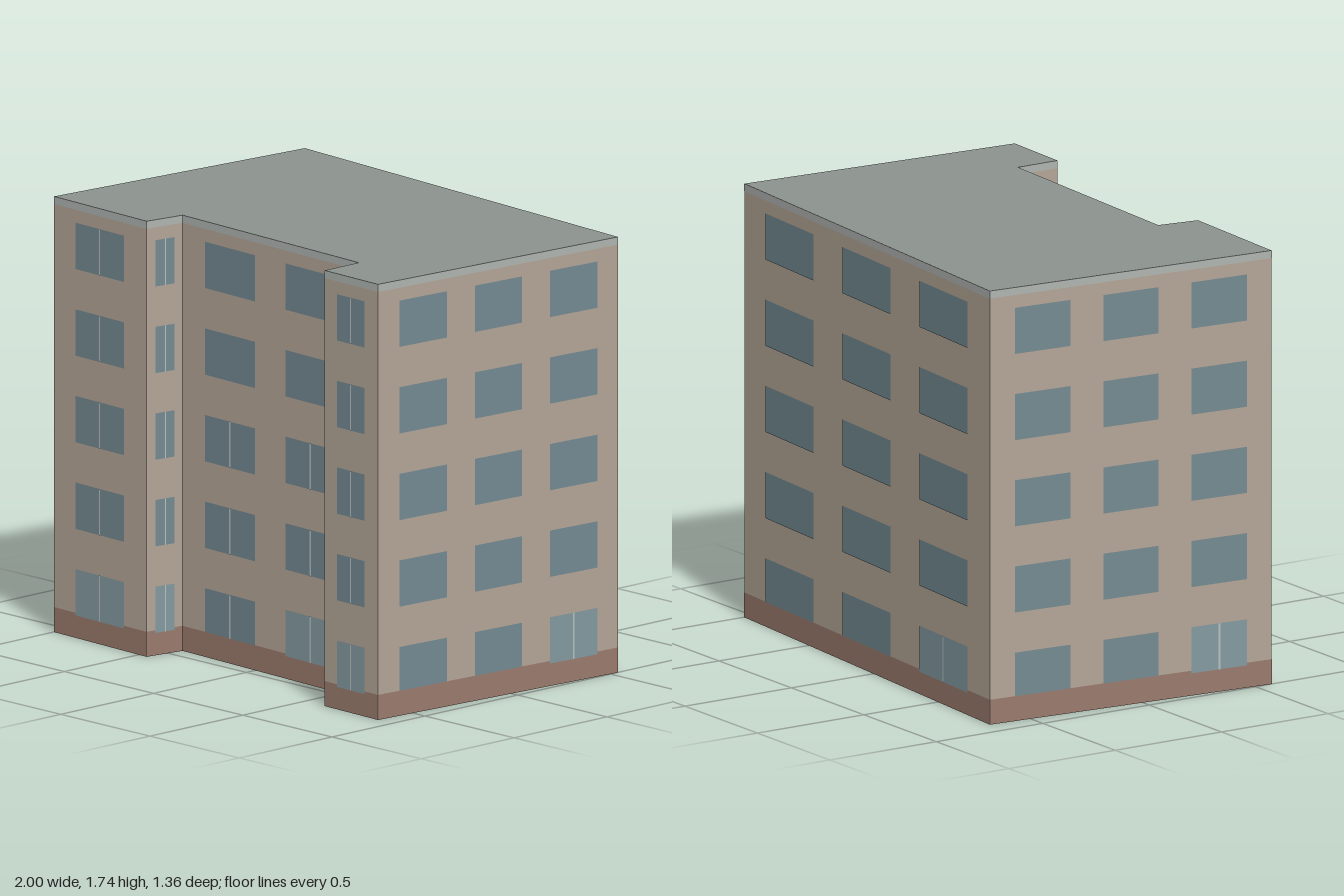
import * as THREE from 'three';

const HEIGHT = 1.74;
const PLINTH = 0.1;
const CORNICE = 0.03;
const FLOOR_STEP = 0.346;
const SILL = 0.09;
const WINDOW_HEIGHT = 0.185;
const FLOORS = 5;

const mat = (color, side = THREE.FrontSide) =>
  new THREE.MeshStandardMaterial({ color, side });

// Window columns as [start, end] fractions of a wall's length
const ONE = [[0.24, 0.76]];
const TWO = [[0.13, 0.413], [0.587, 0.87]];
const THREE_COLS = [[0.088, 0.285], [0.402, 0.598], [0.715, 0.912]];

// Footprint corners (x, z), counter-clockwise from above. Each starts a wall with
// its window columns and the number of floors whose windows have a mullion.
const WALLS = [
  { name: 'leftWingFront', at: [-1.0, 0.575], columns: ONE, split: 5 },
  { name: 'leftWingReturn', at: [-0.455, 0.6], columns: ONE, split: 5 },
  { name: 'middleFront', at: [-0.43, 0.43], columns: TWO, split: 3 },
  { name: 'rightWingReturn', at: [0.61, 0.48], columns: ONE, split: 5 },
  { name: 'rightWingFront', at: [0.61, 0.665], columns: ONE, split: 5 },
  { name: 'eastSide', at: [0.92, 0.675], columns: THREE_COLS, split: 0 },
  { name: 'back', at: [1.0, -0.54], columns: THREE_COLS, split: 0 },
  { name: 'westSide', at: [-0.9, -0.68], columns: THREE_COLS, split: 0 },
];

export function createModel() {
  const building = new THREE.Group();
  building.name = 'apartmentBlock';

  const wallMat = mat(0xb5a798, THREE.DoubleSide);
  const plinthMat = mat(0x9b7c6e);
  const corniceMat = mat(0xb0b6b2);
  const glassMat = mat(0x748b93);
  const lightGlassMat = mat(0x849ba2);
  const mullionMat = mat(0xb9c2c2);
  const roofMat = mat(0x8c9490, THREE.DoubleSide);

  // Flat rectangle in wall space: x along the wall, y up, z outward
  function panel(parent, name, x0, x1, y0, y1, z, material) {
    const mesh = new THREE.Mesh(new THREE.PlaneGeometry(x1 - x0, y1 - y0), material);
    mesh.position.set((x0 + x1) / 2, (y0 + y1) / 2, z);
    mesh.name = name;
    parent.add(mesh);
  }

  WALLS.forEach((wall, i) => {
    const [x, z] = wall.at;
    const [nx, nz] = WALLS[(i + 1) % WALLS.length].at;
    const length = Math.hypot(nx - x, nz - z);

    const side = new THREE.Group();
    side.name = wall.name;
    side.position.set(x, 0, z);
    side.rotation.y = Math.atan2(z - nz, nx - x);
    building.add(side);

    // Wall face with its base and top bands
    panel(side, 'wall', 0, length, 0, HEIGHT, 0, wallMat);
    panel(side, 'plinth', 0, length, 0, PLINTH, 0.0015, plinthMat);
    panel(side, 'cornice', 0, length, HEIGHT - CORNICE, HEIGHT, 0.0015, corniceMat);

    // Windows; the last one on the ground floor is a lighter, split entrance window
    for (let floor = 0; floor < FLOORS; floor++) {
      wall.columns.forEach(([a, b], c) => {
        const entrance = floor === 0 && c === wall.columns.length - 1;
        const y1 = SILL + floor * FLOOR_STEP + WINDOW_HEIGHT;
        const y0 = floor === 0 && !entrance ? PLINTH : y1 - WINDOW_HEIGHT;
        panel(side, entrance ? 'entranceWindow' : 'window', a * length, b * length, y0, y1,
          0.003, entrance ? lightGlassMat : glassMat);
        if (entrance || floor < wall.split) {
          const mid = ((a + b) / 2) * length;
          const half = Math.min(0.004, length * 0.012);
          panel(side, 'mullion', mid - half, mid + half, y0, y1, 0.0045, mullionMat);
        }
      });
    }
  });

  // Flat roof over the whole footprint
  const outline = new THREE.Shape(WALLS.map(({ at: [x, z] }) => new THREE.Vector2(x, -z)));
  const roof = new THREE.Mesh(new THREE.ShapeGeometry(outline), roofMat);
  roof.rotation.x = -Math.PI / 2;
  roof.position.y = HEIGHT;
  roof.name = 'roof';
  building.add(roof);

  return building;
}
